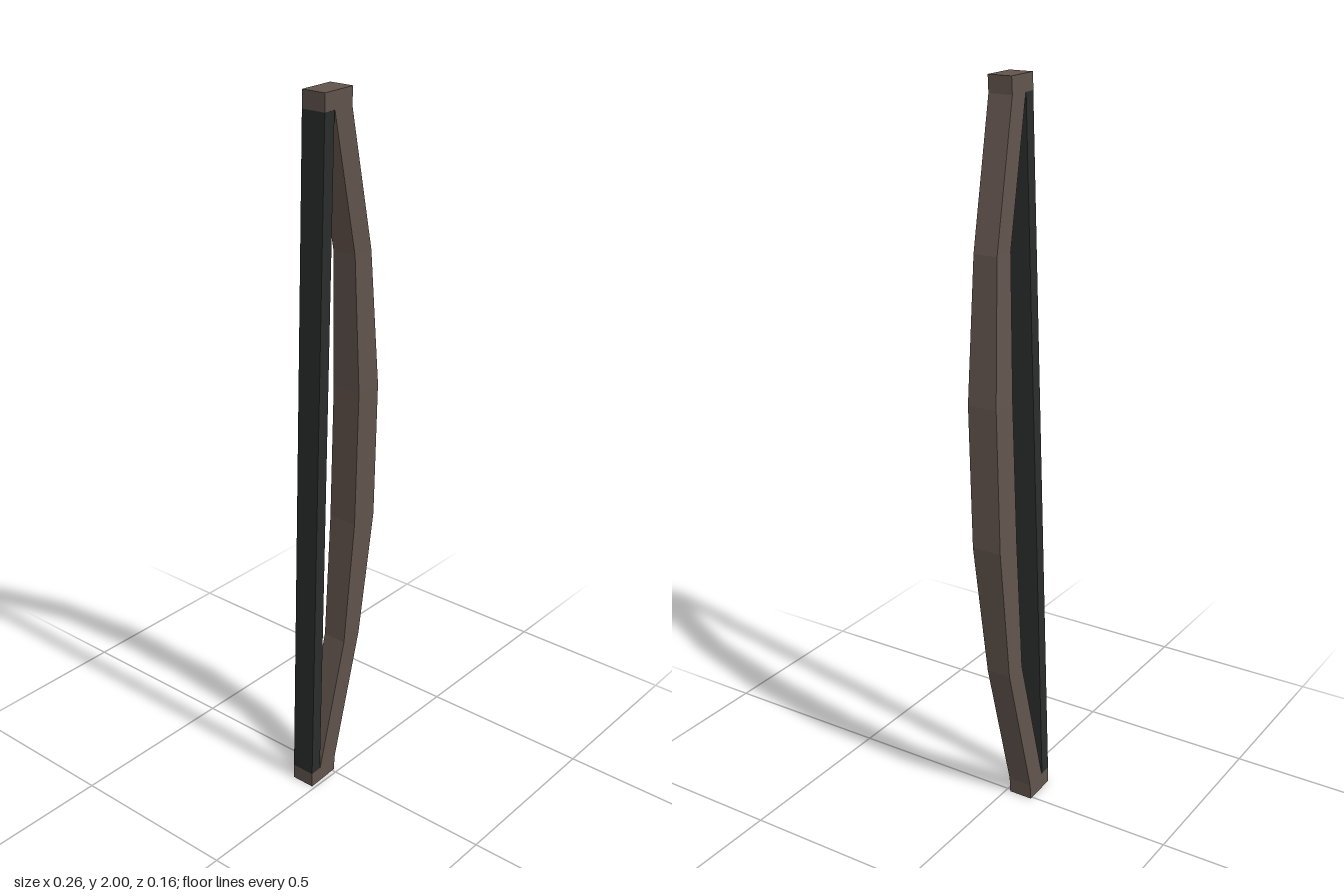
import * as THREE from 'three';

const wood = new THREE.MeshStandardMaterial({ color: 0x62544d, flatShading: true });
const cord = new THREE.MeshStandardMaterial({ color: 0x2b2d2d, flatShading: true });

const YAW = 0.04; // the back and front faces drift in z as x grows

// Closed four-sided loft; each section is [y, xLeft, xRight, zBack, zFront], z given at xRight
function loft(name, sections, material) {
  const pos = [];
  const index = [];
  for (const [y, x0, x1, zb, zf] of sections) {
    const d = (x1 - x0) * YAW;
    pos.push(x0, y, zf + d, x1, y, zf, x1, y, zb, x0, y, zb + d);
  }
  const quad = (a, b, c, d) => index.push(a, b, c, a, c, d);
  for (let i = 0; i < sections.length - 1; i++) {
    for (let j = 0; j < 4; j++) {
      const k = (j + 1) % 4;
      quad(i * 4 + j, i * 4 + k, i * 4 + 4 + k, i * 4 + 4 + j);
    }
  }
  const t = (sections.length - 1) * 4;
  quad(3, 2, 1, 0);
  quad(t, t + 1, t + 2, t + 3);
  const indexed = new THREE.BufferGeometry();
  indexed.setAttribute('position', new THREE.Float32BufferAttribute(pos, 3));
  indexed.setIndex(index);
  const geometry = indexed.toNonIndexed();
  geometry.computeVertexNormals();
  const mesh = new THREE.Mesh(geometry, material);
  mesh.name = name;
  return mesh;
}

export function createModel() {
  const bow = new THREE.Group();
  bow.name = 'bow';

  // Curved wooden limb, thickest at the grip
  bow.add(loft('limb', [
    [0.045, -0.058, 0.01, -0.081, -0.012],
    [0.435, 0.03, 0.098, -0.067, 0.003],
    [0.81, 0.046, 0.132, -0.06, 0.025],
    [1.2, 0.04, 0.123, -0.043, 0.042],
    [1.58, 0.008, 0.075, -0.016, 0.053],
    [1.955, -0.094, -0.028, 0.005, 0.074],
  ], wood));

  // End blocks that hold the string
  bow.add(loft('lowerTip', [
    [0, -0.095, 0.008, -0.082, -0.013],
    [0.045, -0.096, 0.01, -0.081, -0.012],
  ], wood));
  bow.add(loft('upperTip', [
    [1.955, -0.132, -0.028, 0.005, 0.074],
    [2, -0.133, -0.028, 0.007, 0.076],
  ], wood));

  // Straight, flat string between the tips
  bow.add(loft('string', [
    [0.045, -0.096, -0.06, -0.078, -0.009],
    [1.955, -0.132, -0.096, 0.008, 0.077],
  ], cord));

  return bow;
}
